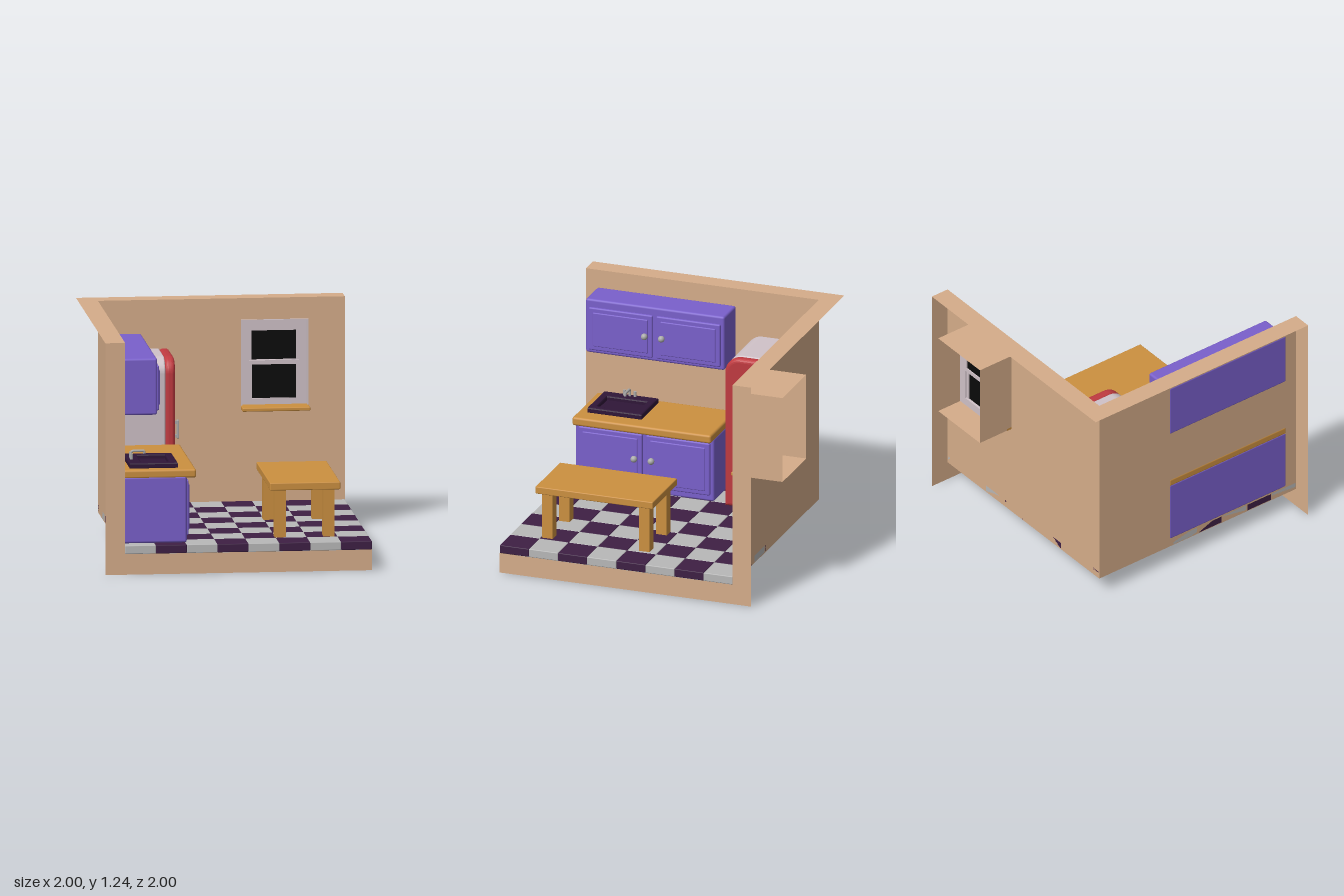
import * as THREE from 'three';
import { RoundedBoxGeometry } from 'three/addons/geometries/RoundedBoxGeometry.js';

const T = 0.105, S = Math.SQRT2, H = 1.24, F = 0.155; // wall thickness, room side, wall height, floor level
const mat = (color, side = THREE.FrontSide) => new THREE.MeshStandardMaterial({ color, side });
const wallMat = mat(0xd6ad8a, THREE.DoubleSide);
const purple = mat(0x7a60cc), wood = mat(0xcc9040), red = mat(0xc03a40), shell = mat(0xd0c2c8);
const darkTile = mat(0x3e1f44), lightTile = mat(0xb8b8b8), sinkMat = mat(0x2f1638), black = mat(0x0a0a0a), metal = mat(0xaaaaaa);

function add(parent, name, geometry, material, x = 0, y = 0, z = 0) {
  const m = new THREE.Mesh(geometry, material);
  m.name = name;
  m.position.set(x, y, z);
  parent.add(m);
  return m;
}

// Box given by its extents; r rounds the edges
function box(parent, name, [x0, x1], [y0, y1], [z0, z1], material, r = 0) {
  const d = [x1 - x0, y1 - y0, z1 - z0];
  const g = r ? new RoundedBoxGeometry(...d, 2, r) : new THREE.BoxGeometry(...d);
  return add(parent, name, g, material, (x0 + x1) / 2, (y0 + y1) / 2, (z0 + z1) / 2);
}

function rect(Type, x0, y0, x1, y1) {
  const p = new Type();
  p.moveTo(x0, y0); p.lineTo(x1, y0); p.lineTo(x1, y1); p.lineTo(x0, y1); p.closePath();
  return p;
}

function group(parent, name) {
  const g = new THREE.Group();
  g.name = name;
  parent.add(g);
  return g;
}

// Open-backed shell: inner wall faces, top rim, end caps and floor skirt
function buildWalls(room, win) {
  const g = group(room, 'walls');
  const right = rect(THREE.Shape, T, 0.11, S, H);
  right.holes.push(rect(THREE.Path, win.x0, win.y0, win.x1, win.y1));
  add(g, 'rightWall', new THREE.ShapeGeometry(right), wallMat, 0, 0, T);
  const plane = (name, w, h, x, y, z, ry = 0, rx = 0) =>
    add(g, name, new THREE.PlaneGeometry(w, h), wallMat, x, y, z).rotation.set(rx, ry, 0);
  plane('leftWall', S - T, H - 0.11, T, (H + 0.11) / 2, (S + T) / 2, Math.PI / 2);
  plane('leftWallEnd', T, H, T / 2, H / 2, S);
  plane('rightWallEnd', T, H, S, H / 2, T / 2, Math.PI / 2);
  plane('leftSkirt', S - T, 0.11, (S + T) / 2, 0.055, S);
  plane('rightSkirt', S - T, 0.11, S, 0.055, (S + T) / 2, Math.PI / 2);
  plane('rightWallTop', S, T, S / 2, H, T / 2, 0, -Math.PI / 2);
  plane('leftWallTop', T, S - T, T / 2, H, (S + T) / 2, 0, -Math.PI / 2);
  // sleeve around the window, open at both ends
  const w = win.x1 - win.x0, h = win.y1 - win.y0, cx = (win.x0 + win.x1) / 2, cy = (win.y0 + win.y1) / 2;
  for (const x of [win.x0, win.x1]) plane('windowSleeveSide', 2 * T, h, x, cy, 0, Math.PI / 2);
  for (const y of [win.y0, win.y1]) plane('windowSleeveCap', w, 2 * T, cx, y, 0, 0, -Math.PI / 2);
}

function frame(parent, name, x0, x1, y0, y1, z0, z1, t, material) {
  const s = rect(THREE.Shape, x0, y0, x1, y1);
  s.holes.push(rect(THREE.Path, x0 + t, y0 + t, x1 - t, y1 - t));
  add(parent, name, new THREE.ExtrudeGeometry(s, { depth: z1 - z0, bevelEnabled: false }), material, 0, 0, z0);
}

function buildWindow(room, { x0, x1, y0, y1 }) {
  const g = group(room, 'window');
  frame(g, 'liner', x0 + 0.002, x1 - 0.002, y0 + 0.002, y1 - 0.002, 0.065, T, 0.006, shell);
  frame(g, 'outerFrame', x0 + 0.002, x1 - 0.002, y0 + 0.002, y1 - 0.002, 0.04, 0.068, 0.045, shell);
  // upper and lower sash
  const sashes = [['upperSash', 0.88, 1.08, 0.035], ['lowerSash', 0.675, 0.9, 0.048]];
  for (const [name, a, b, z] of sashes) {
    frame(g, name, x0 + 0.04, x1 - 0.04, a, b, z, z + 0.025, 0.022, shell);
    box(g, name + 'Pane', [x0 + 0.055, x1 - 0.055], [a + 0.015, b - 0.015], [z + 0.006, z + 0.014], black);
  }
  box(g, 'sill', [x0, x1], [0.645, 0.665], [0.07, 0.185], wood, 0.005);
}

// Cabinet against the left wall with two panelled doors and knobs
function buildCabinet(room, name, depth, y0, y1, d0, d1, knobY) {
  const g = group(room, name), front = T + depth;
  box(g, 'body', [T - 0.002, front], [y0, y1], [0.57, 1.35], purple, 0.012);
  for (const s of [-1, 1]) {
    const c = 0.96 + s * 0.19;
    box(g, 'door', [front - 0.01, front + 0.012], [d0, d1], [c - 0.18, c + 0.18], purple, 0.008);
    box(g, 'doorPanel', [front, front + 0.018], [d0 + 0.025, d1 - 0.025], [c - 0.155, c + 0.155], purple, 0.005);
    add(g, 'knob', new THREE.SphereGeometry(0.018, 16, 12), metal, front + 0.034, knobY, 0.96 + s * 0.048);
  }
}

function buildCounter(room) {
  const g = group(room, 'counter');
  box(g, 'worktop', [T - 0.002, 0.49], [0.5, 0.547], [0.57, 1.35], wood, 0.012);
  // raised sink rim around a shallow basin
  const rim = rect(THREE.Shape, 0.15, -1.29, 0.39, -1.0);
  rim.holes.push(rect(THREE.Path, 0.2, -1.265, 0.365, -1.025));
  const rg = new THREE.ExtrudeGeometry(rim, { depth: 0.018, bevelSize: 0.008, bevelThickness: 0.008, bevelSegments: 2 });
  rg.rotateX(-Math.PI / 2);
  add(g, 'sinkRim', rg, sinkMat, 0, 0.55, 0);
  box(g, 'sinkBasin', [0.18, 0.38], [0.54, 0.553], [1.01, 1.28], sinkMat);
  const path = new THREE.CurvePath();
  const v = (x, y) => new THREE.Vector3(x, y, 1.145);
  path.add(new THREE.LineCurve3(v(0.165, 0.57), v(0.165, 0.6)));
  path.add(new THREE.QuadraticBezierCurve3(v(0.165, 0.6), v(0.165, 0.615), v(0.18, 0.615)));
  path.add(new THREE.LineCurve3(v(0.18, 0.615), v(0.235, 0.615)));
  path.add(new THREE.LineCurve3(v(0.235, 0.615), v(0.237, 0.6)));
  add(g, 'tap', new THREE.TubeGeometry(path, 32, 0.007, 8), metal);
  for (const z of [1.115, 1.175]) add(g, 'tapHandle', new THREE.CylinderGeometry(0.008, 0.008, 0.03, 10), metal, 0.165, 0.59, z);
}

// Slab with two rounded top corners, facing +x
function archSlab(w, h, r, depth, bevel) {
  const a = w / 2 - bevel, t = h - bevel, q = r - bevel;
  const s = new THREE.Shape();
  s.moveTo(-a, bevel); s.lineTo(a, bevel); s.lineTo(a, t - q);
  s.absarc(a - q, t - q, q, 0, Math.PI / 2, false);
  s.absarc(-a + q, t - q, q, Math.PI / 2, Math.PI, false);
  s.closePath();
  const g = new THREE.ExtrudeGeometry(s, {
    depth: depth - 2 * bevel, bevelEnabled: true, bevelSize: bevel, bevelThickness: bevel, bevelSegments: 4, curveSegments: 10,
  });
  g.translate(0, 0, bevel);
  return g.rotateY(Math.PI / 2);
}

function buildFridge(room) {
  const g = group(room, 'fridge');
  add(g, 'body', archSlab(0.38, 0.84, 0.085, 0.305, 0.008), shell, 0.115, F, 0.31);
  add(g, 'door', archSlab(0.38, 0.84, 0.085, 0.055, 0.02), red, 0.418, F, 0.31);
  box(g, 'handle', [0.488, 0.502], [0.55, 0.65], [0.402, 0.42], metal, 0.005);
  for (const y of [0.565, 0.635]) box(g, 'handleMount', [0.465, 0.492], [y - 0.008, y + 0.008], [0.404, 0.418], metal);
}

function buildTable(room) {
  const g = group(room, 'table');
  box(g, 'tableTop', [0.89, 1.262], [0.41, 0.45], [0.61, 1.27], wood, 0.005);
  for (const x of [0.947, 1.205]) for (const z of [0.667, 1.213])
    box(g, 'tableLeg', [x - 0.03, x + 0.03], [F, 0.412], [z - 0.03, z + 0.03], wood);
}

export function createModel() {
  const model = new THREE.Group();
  model.name = 'kitchen';
  // room axes run along the two walls from the back corner
  const room = group(model, 'room');
  room.position.z = -1;
  room.rotation.y = -Math.PI / 4;

  const win = { x0: 0.863, x1: 1.223, y0: 0.65, y1: 1.125 };
  buildWalls(room, win);
  buildWindow(room, win);

  // chequered floor
  const floor = group(room, 'floor'), n = 8, t = (S - T) / n;
  for (let i = 0; i < n; i++) for (let j = 0; j < n; j++)
    box(floor, 'tile', [T + i * t, T + (i + 1) * t], [0.11, F], [T + j * t, T + (j + 1) * t],
      (i + j) % 2 ? lightTile : darkTile, 0.004);

  buildCabinet(room, 'wallCabinet', 0.178, 0.84, 1.143, 0.86, 1.1, 0.985);
  buildCabinet(room, 'baseCabinet', 0.335, F, 0.51, 0.19, 0.485, 0.35);
  buildCounter(room);
  buildFridge(room);
  buildTable(room);
  return model;
}
